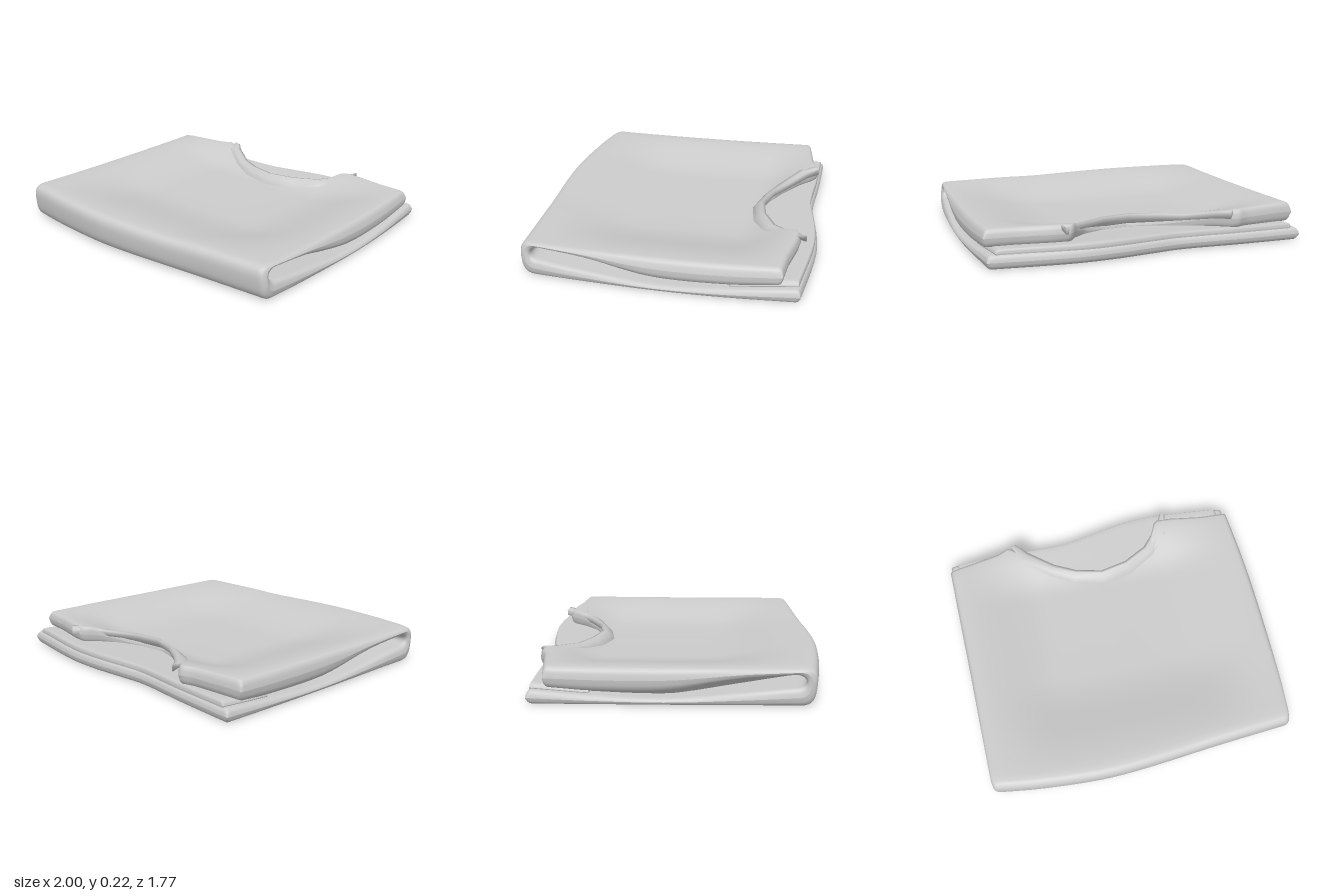
import * as THREE from 'three';

const material = new THREE.MeshStandardMaterial({ color: 0xcccccc, side: THREE.DoubleSide });
const { lerp, smoothstep } = THREE.MathUtils;

// Interpolates a short list of [position, value] pairs, smoothly or straight
function along(points, x, smooth = true) {
  const n = points.length;
  if (x <= points[0][0]) return points[0][1];
  if (x >= points[n - 1][0]) return points[n - 1][1];
  let i = 0;
  while (x > points[i + 1][0]) i++;
  const [x0, y0] = points[i], [x1, y1] = points[i + 1], h = x1 - x0, t = (x - x0) / h;
  if (!smooth) return y0 + (y1 - y0) * t;
  const slope = (k) => {
    const a = points[Math.max(k - 1, 0)], b = points[Math.min(k + 1, n - 1)];
    return (b[1] - a[1]) / (b[0] - a[0]);
  };
  const t2 = t * t, t3 = t2 * t;
  return (2 * t3 - 3 * t2 + 1) * y0 + (t3 - 2 * t2 + t) * h * slope(i)
    + (3 * t2 - 2 * t3) * y1 + (t3 - t2) * h * slope(i + 1);
}

// Outlines of the folded shirt, as z or y by x, and as x or y by z
const frontEdge = [[-1, 0.83], [-0.7, 0.867], [-0.3, 0.89], [0, 0.877], [0.5, 0.83], [1, 0.79]];
const backEdge = [[-1, -0.8], [-0.6, -0.805], [-0.2, -0.8], [0, -0.83], [0.25, -0.87], [0.5, -0.885], [1, -0.85]];
const neck = [[-0.53, -0.8], [-0.46, -0.73], [-0.3, -0.615], [-0.16, -0.545], [0.01, -0.505],
  [0.18, -0.54], [0.33, -0.62], [0.43, -0.73], [0.49, -0.83]];
const topEdge = [[-1, -0.7], [-0.65, -0.76], [-0.57, -0.795], ...neck.map(([x, z]) => [x, z + 0.035]),
  [0.6, -0.79], [0.8, -0.76], [1, -0.75]];
const topHeight = [[-1, 0.208], [-0.9, 0.214], [0, 0.198], [0.3, 0.194], [0.55, 0.2], [1, 0.197]];
const leftSide = [[-0.85, 0.945], [-0.4, 0.985], [0, 0.999], [0.5, 0.995], [0.8, 0.98]];
const rightSide = [[-0.8, -1], [-0.4, -0.99], [0.2, -0.97], [0.8, -0.95]];
const gapTop = [[-0.8, 0.105], [-0.4, 0.085], [0, 0.09], [0.4, 0.155], [0.7, 0.18]];
const gapBottom = [[-0.85, 0.085], [-0.4, 0.052], [0, 0.04], [0.4, 0.07], [0.7, 0.1]];

// Top surface: the middle sags into a shallow bowl between the raised edges
function topY(x, z) {
  const bowl = (1 - smoothstep(Math.abs(x), 0.42, 0.97))
    * (1 - smoothstep(z, 0.2, 0.8)) * smoothstep(z, -0.78, -0.42);
  return along(topHeight, x) + 0.014 * z * z - 0.085 * bowl;
}

// Underside of the top layer: it rests on the bottom layer inside the open sides
function undersideY(x, z) {
  const rest = smoothstep(1 - Math.abs(x), 0, z > 0 ? 0.12 + 0.3 * z : 0.12) * smoothstep(z, -0.72, -0.5);
  const y = lerp(along(gapTop, z), along(gapBottom, z) - 0.003, rest);
  return Math.min(y, topY(x, z) - 0.02);
}

const round = (d, w) => Math.sqrt(1 - (1 - Math.min(d / w, 1)) ** 2);

// Steps from 0 to 1, closer together at the start (and at the end if wanted)
function steps(n, bothEnds) {
  const first = [0, 0.002, 0.006, 0.012, 0.02];
  const last = bothEnds ? first.map((t) => 1 - t).reverse() : [1];
  const list = [...first];
  for (let i = 1; i < n; i++) list.push(0.02 + (bothEnds ? 0.96 : 0.98) * i / n);
  return [...list, ...last];
}

// Joins closed rings of points into one smooth skin
function loft(name, rings, capped) {
  const m = rings[0].length, index = [];
  for (let i = 0; i < rings.length - 1; i++) {
    for (let j = 0; j < m; j++) {
      const a = i * m + j, b = i * m + (j + 1) % m;
      index.push(a, b, a + m, b, b + m, a + m);
    }
  }
  if (capped) {
    const e = (rings.length - 1) * m;
    for (let j = 1; j < m - 1; j++) index.push(0, j + 1, j, e, e + j, e + j + 1);
  }
  const geometry = new THREE.BufferGeometry();
  geometry.setAttribute('position', new THREE.Float32BufferAttribute(rings.flat(2), 3));
  geometry.setIndex(index);
  geometry.computeVertexNormals();
  const mesh = new THREE.Mesh(geometry, material);
  mesh.name = name;
  return mesh;
}

// Cloth with an outer and an inner face that meet in rounded rims all round.
// profile(x) gives a list of [outer z, outer y, inner z, inner y, rim factor].
function cloth(name, profile, inset = 0) {
  const rings = steps(80, true).map((u) => {
    const side = round(Math.min(u, 1 - u), 0.015);
    const outer = [], inner = [];
    for (const [zo, yo, zi, yi, rim] of profile(u * 2 - 1)) {
      const k = side * rim, zm = (zo + zi) / 2, ym = (yo + yi) / 2;
      const place = (z, y) => {
        const tuck = inset + 0.012 * smoothstep(y, 0.08, 0.2);
        const a = along(rightSide, z) + inset, b = along(leftSide, z) - tuck;
        return [a + (b - a) * u, y, z];
      };
      outer.push(place(zm + (zo - zm) * k, ym + (yo - ym) * k));
      inner.push(place(zm + (zi - zm) * k, ym + (yi - ym) * k));
    }
    return [...outer, ...inner.reverse()];
  });
  return loft(name, rings, false);
}

// Body: top layer, rounded front fold and bottom layer in one sheet
function bodyProfile(x) {
  const front = along(frontEdge, x), start = front - 0.09, inside = front - 0.13;
  const list = [];
  const zTop = along(topEdge, x, false), zBottom = along(backEdge, x);
  const run = steps(30, false);
  for (const t of run) {
    const z = zTop + (start - zTop) * t, zi = zTop + (inside - zTop) * t;
    list.push([z, topY(x, z), zi, undersideY(x, zi), round(t, 0.02)]);
  }
  const high = topY(x, start), a0 = undersideY(x, inside), b0 = along(gapBottom, inside);
  for (let i = 1; i < 16; i++) {
    const a = Math.PI / 2 - Math.PI * i / 16, c = Math.cos(a), s = Math.sin(a);
    const y = Math.sign(s) * Math.abs(s) ** 0.7;
    list.push([start + 0.09 * c ** 0.6 - 0.01 * (1 - y), high / 2 * (1 + y),
      inside + 0.06 * c, (a0 + b0) / 2 + (a0 - b0) / 2 * s, 1]);
  }
  for (const t of [...run].reverse()) {
    const z = zBottom + (start - 0.02 - zBottom) * t, zi = zBottom + (inside - zBottom) * t;
    list.push([z, 0, zi, along(gapBottom, zi), round(t, 0.02)]);
  }
  return list;
}

// Back panel: the second layer that shows inside the neck opening
function backPanelProfile(x) {
  const back = along(backEdge, x) + 0.015;
  return steps(14, true).map((t) => {
    const z = back + (-0.45 - back) * t, low = along(gapBottom, z) - 0.02;
    return [z, low + 0.05, z, low, round(Math.min(t, 1 - t), 0.03)];
  });
}

// Collar: a band that stands up from the sagging cloth towards the neck opening
function collar() {
  const last = neck.length - 1;
  const rings = neck.map(([x, z], i) => {
    const a = neck[Math.max(i - 1, 0)], b = neck[Math.min(i + 1, last)];
    const length = Math.hypot(b[0] - a[0], b[1] - a[1]);
    const nx = -(b[1] - a[1]) / length, nz = (b[0] - a[0]) / length;
    const width = i % last === 0 ? 0.035 : 0.078;
    const rim = Math.max(0.17, topY(x, z) - 0.015), foot = topY(x + nx * width, z + nz * width);
    const section = [[0, rim], [0.25, rim + 0.003], [0.6, lerp(rim, foot, 0.5) + 0.005], [1, foot + 0.002],
      [0.9, foot - 0.02], [0.45, lerp(rim, foot, 0.6) - 0.03], [0.05, rim - 0.035]];
    return section.map(([o, y]) => [x + nx * o * width, y, z + nz * o * width]);
  });
  return loft('collar', rings, true);
}

export function createModel() {
  const group = new THREE.Group();
  group.name = 'foldedShirt';
  group.add(cloth('foldedBody', bodyProfile), cloth('backPanel', backPanelProfile, 0.05), collar());
  return group;
}
